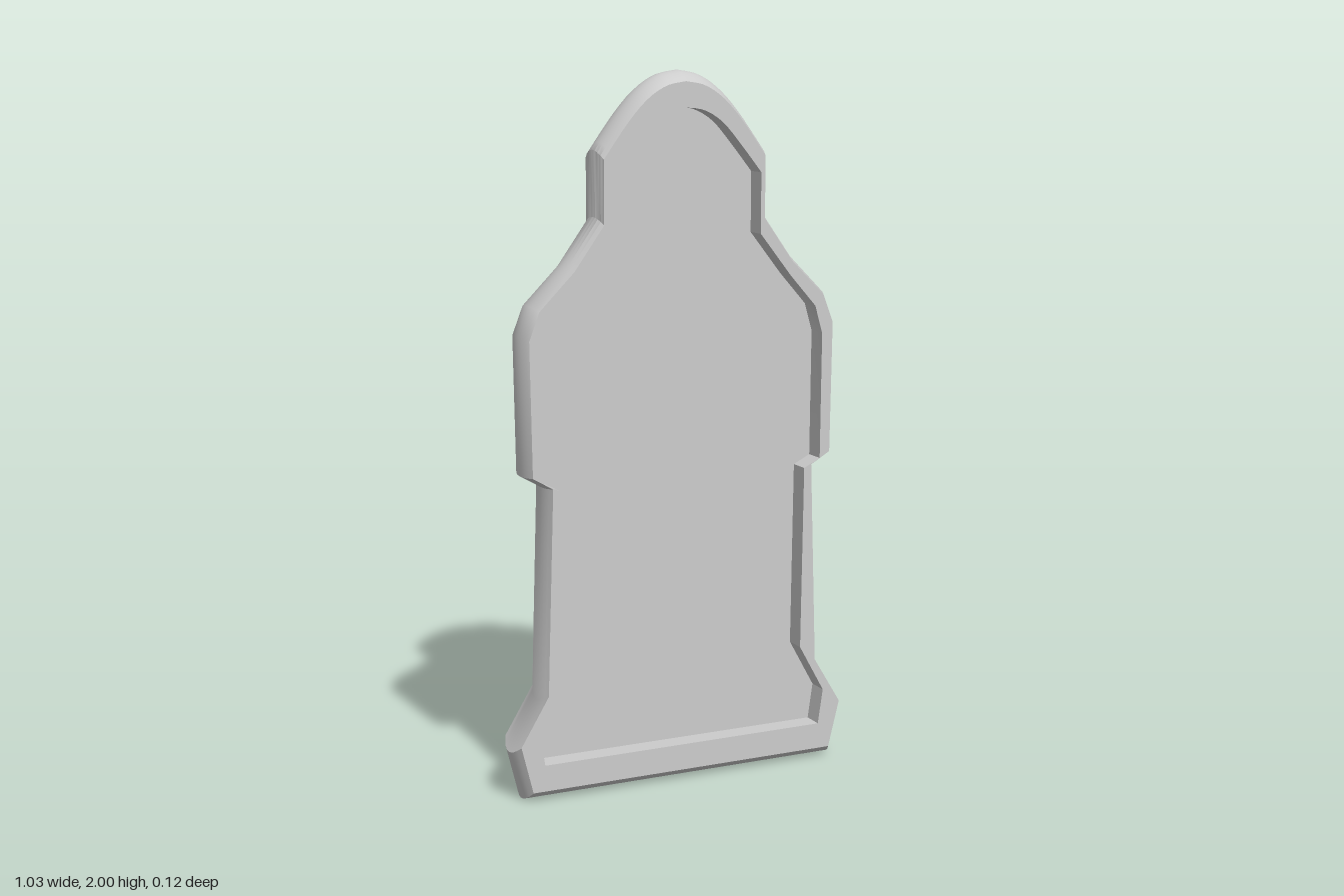
import * as THREE from 'three';
import { toCreasedNormals } from 'three/addons/utils/BufferGeometryUtils.js';

const HALF_DEPTH = 0.062;
const FLOOR_Z = 0;

// Closed symmetric outline (counter-clockwise): right side from the foot up, a smooth dome, then mirrored.
function outline(side, dome) {
  const curve = new THREE.SplineCurve(dome.map(([x, y]) => new THREE.Vector2(x, y)));
  const right = [...side.map(([x, y]) => new THREE.Vector2(x, y)), ...curve.getPoints(14)];
  const left = right.slice(0, -1).reverse().map((p) => new THREE.Vector2(-p.x, p.y));
  return [...right, ...left];
}

// Scale an outline about the middle of the slab.
const scaled = (pts, s) => pts.map((p) => new THREE.Vector2(p.x * s, 1 + (p.y - 1) * s));

// Band of quads joining successive outlines, each given as { pts, z }.
function loft(rings, crease) {
  const n = rings[0].pts.length;
  const positions = [];
  const index = [];
  rings.forEach(({ pts, z }) => pts.forEach((p) => positions.push(p.x, p.y, z)));
  for (let r = 0; r < rings.length - 1; r++) {
    for (let i = 0; i < n; i++) {
      const a = r * n + i;
      const b = r * n + ((i + 1) % n);
      index.push(a, b, b + n, a, b + n, a + n);
    }
  }
  const geo = new THREE.BufferGeometry();
  geo.setAttribute('position', new THREE.Float32BufferAttribute(positions, 3));
  geo.setIndex(index);
  return toCreasedNormals(geo, crease);
}

export function createModel() {
  const group = new THREE.Group();
  group.name = 'plaque';
  const material = new THREE.MeshStandardMaterial({ color: 0xcccccc });
  const add = (name, geometry) => {
    const mesh = new THREE.Mesh(geometry, material);
    mesh.name = name;
    group.add(mesh);
    return mesh;
  };

  const outer = outline(
    [[0.48, 0], [0.515, 0.14], [0.43, 0.28], [0.41, 0.88], [0.47, 0.915],
      [0.476, 1.3], [0.445, 1.38], [0.34, 1.485], [0.25, 1.61]],
    [[0.25, 1.79], [0.18, 1.885], [0.12, 1.95], [0.06, 1.988], [0, 2]],
  );
  const recess = outline(
    [[0.43, 0.105], [0.445, 0.207], [0.368, 0.345], [0.375, 0.875], [0.425, 0.9],
      [0.428, 1.26], [0.405, 1.34], [0.325, 1.43], [0.23, 1.55]],
    [[0.23, 1.72], [0.165, 1.8], [0.11, 1.86], [0.055, 1.892], [0, 1.9]],
  );
  const face = scaled(outer, 0.97);

  // Bulging outer edge
  const rings = [];
  for (let k = -4; k <= 4; k++) {
    const t = k / 4;
    rings.push({ pts: scaled(outer, 1 - 0.03 * t * t), z: t * HALF_DEPTH });
  }
  add('outerEdge', loft(rings, 0.63));

  // Flat front rim around the recess
  const rimShape = new THREE.Shape(face);
  rimShape.holes.push(new THREE.Path(recess));
  add('frontRim', new THREE.ShapeGeometry(rimShape)).position.z = HALF_DEPTH;

  // Recess walls and floor
  add('recessWall', loft([{ pts: recess, z: HALF_DEPTH }, { pts: recess, z: FLOOR_Z }], 0.5));
  add('recessFloor', new THREE.ShapeGeometry(new THREE.Shape(recess))).position.z = FLOOR_Z;

  // Flat back
  const back = add('backPanel', new THREE.ShapeGeometry(new THREE.Shape(face)));
  back.rotation.y = Math.PI;
  back.position.z = -HALF_DEPTH;

  return group;
}
